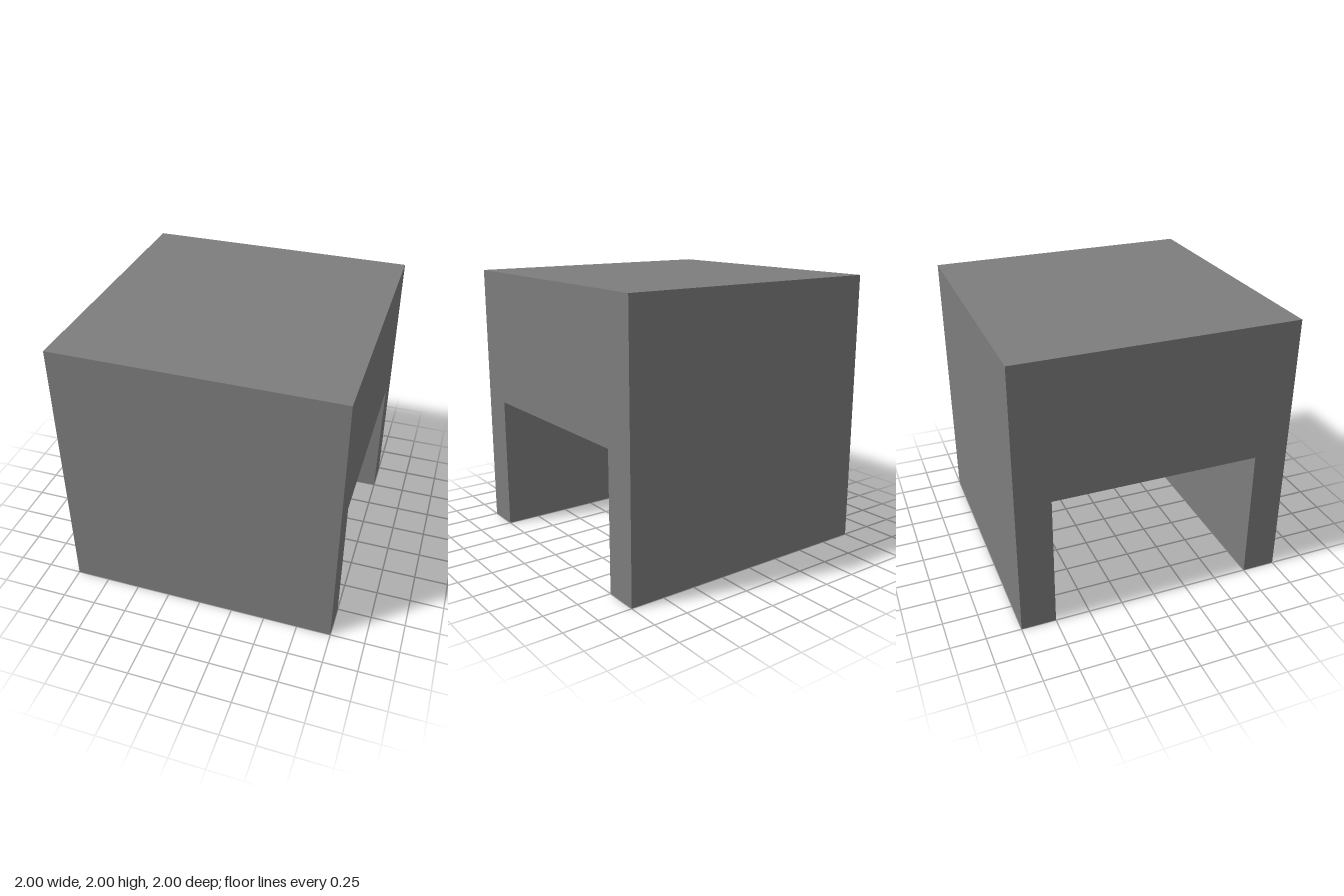
import * as THREE from 'three';

export function createModel() {
  const group = new THREE.Group();
  const shellMaterial = new THREE.MeshStandardMaterial({ color: 0x7d7d7d });
  shellMaterial.name = 'midGrey';
  const pegMaterial = new THREE.MeshStandardMaterial({ color: 0x383838 });
  pegMaterial.name = 'darkGrey';

  // Block with an open channel below, cut through from side to side
  const profile = new THREE.Shape([
    [-1, 0], [-0.75, 0], [-0.75, 1], [0.75, 1], [0.75, 0], [1, 0], [1, 2], [-1, 2],
  ].map(([x, y]) => new THREE.Vector2(x, y)));
  const shellGeometry = new THREE.ExtrudeGeometry(profile, { depth: 2, bevelEnabled: false });
  shellGeometry.translate(0, 0, -1).rotateY(Math.PI / 2);
  const shell = new THREE.Mesh(shellGeometry, shellMaterial);
  shell.name = 'archedBlock';
  group.add(shell);

  // Square peg reaching forward from the inside of the back wall
  const peg = new THREE.Mesh(new THREE.BoxGeometry(0.125, 0.125, 0.75), pegMaterial);
  peg.name = 'innerPeg';
  peg.position.set(0, 0.4375, -0.375);
  group.add(peg);

  return group;
}
